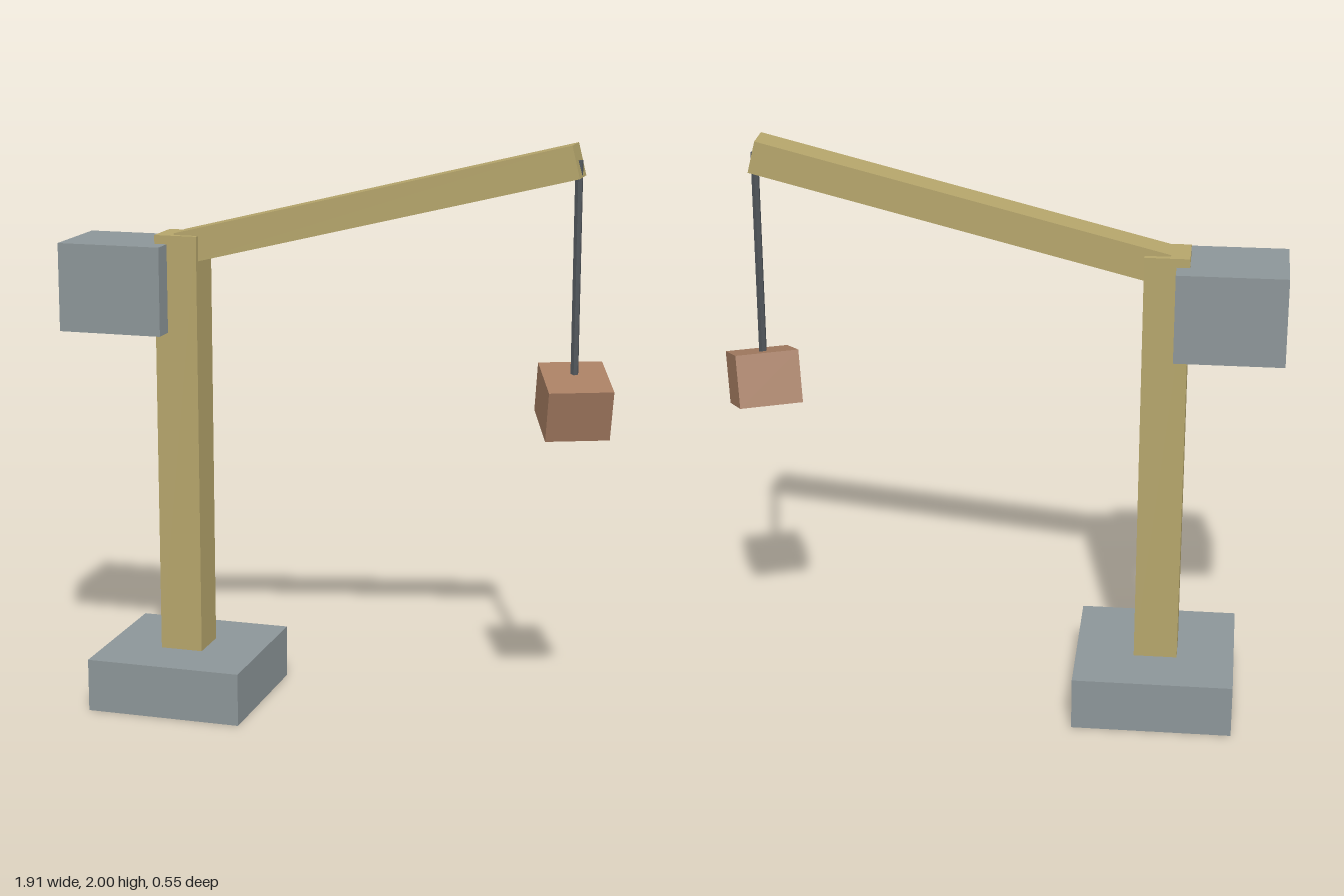
import * as THREE from 'three';

const paint = (name, color) => {
  const m = new THREE.MeshStandardMaterial({ color });
  m.name = name;
  return m;
};

export function createModel() {
  const crane = new THREE.Group();
  crane.name = 'crane';
  const concrete = paint('concrete grey', 0x8c9598);
  const timber = paint('yellow timber', 0xb5a56b);
  const steel = paint('dark steel', 0x50555a);
  const crate = paint('brown crate', 0xa67d62);

  const add = (name, geometry, material, x, y, z = 0) => {
    const mesh = new THREE.Mesh(geometry, material);
    mesh.name = name;
    mesh.position.set(x, y, z);
    crane.add(mesh);
    return mesh;
  };
  const box = (w, h, d) => new THREE.BoxGeometry(w, h, d);

  // Foot, mast and counterweight
  add('base', box(0.55, 0.185, 0.55), concrete, -0.56, 0.0925);
  add('mast', box(0.15, 1.475, 0.15), timber, -0.562, 0.9175);
  add('counterweight', box(0.366, 0.305, 0.305), concrete, -0.776, 1.4725);

  // Jib rising from the mast head to the tip
  const start = new THREE.Vector2(-0.561, 1.607);
  const tip = new THREE.Vector2(0.803, 1.947);
  const jib = add('jib', box(start.distanceTo(tip), 0.11, 0.11), timber,
    (start.x + tip.x) / 2, (start.y + tip.y) / 2);
  jib.rotation.z = Math.atan2(tip.y - start.y, tip.x - start.x);

  // Hanging cable
  const cableGeometry = new THREE.CylinderGeometry(0.0135, 0.0135, 0.75, 6).toNonIndexed();
  cableGeometry.computeVertexNormals();
  add('cable', cableGeometry, steel, 0.803, 1.573);

  // Load, swung and tilted on the cable
  const load = add('load', box(0.215, 0.18, 0.215), crate, 0.803, 1.153);
  load.rotation.set(0.288, 0.384, 0, 'YXZ');

  return crane;
}
